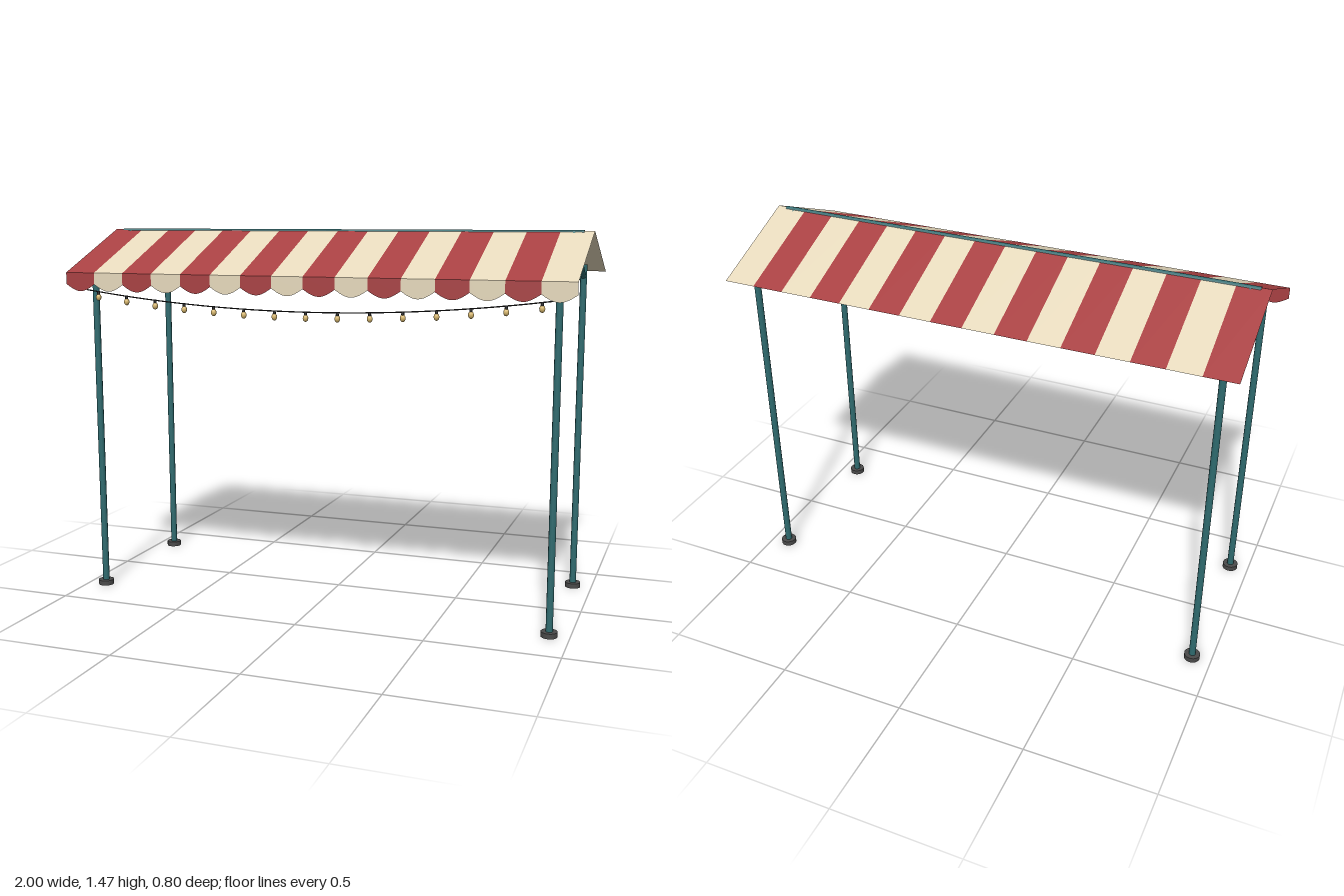
import * as THREE from 'three';

const material = (name, color, side = THREE.FrontSide) => {
  const m = new THREE.MeshStandardMaterial({ color, side });
  m.name = name;
  return m;
};

export function createModel() {
  const red = material('red canvas', 0xa84042, THREE.DoubleSide);
  const cream = material('cream canvas', 0xe6d9bc, THREE.DoubleSide);
  const teal = material('teal paint', 0x2f6b6f);
  const grey = material('dark grey foot', 0x4a4a4a);
  const black = material('black cable', 0x222222);
  const amber = material('warm bulb', 0xdcbb70);

  const group = new THREE.Group();
  group.name = 'marketCanopy';
  const add = (name, geometry, mat, x = 0, y = 0, z = 0) => {
    const mesh = new THREE.Mesh(geometry, mat);
    mesh.name = name;
    mesh.position.set(x, y, z);
    group.add(mesh);
    return mesh;
  };
  const bar = (name, a, b, r) => {
    const from = new THREE.Vector3(...a), to = new THREE.Vector3(...b);
    const dir = to.clone().sub(from);
    const mesh = add(name, new THREE.CylinderGeometry(r, r, dir.length(), 12), teal);
    mesh.position.copy(from).add(to).multiplyScalar(0.5);
    mesh.quaternion.setFromUnitVectors(new THREE.Vector3(0, 1, 0), dir.normalize());
  };

  // Frame: posts, feet, rafters, eave rails and ridge
  const postX = 0.925, postZ = 0.305, railY = 1.28, ridgeY = 1.456;
  for (const z of [-postZ, postZ]) {
    for (const x of [-postX, postX]) {
      bar('post', [x, 0, z], [x, 1.33, z], 0.0132);
      add('foot', new THREE.CylinderGeometry(0.031, 0.031, 0.02, 16), grey, x, 0.01, z);
      bar('rafter', [x, railY, z], [x, ridgeY, 0], 0.0105);
    }
    bar('eaveRail', [-postX, railY, z], [postX, railY, z], 0.0105);
  }
  bar('ridgeBar', [-0.962, ridgeY, 0], [0.962, ridgeY, 0], 0.012);

  // Striped roof slopes and scalloped front valance
  const stripes = 16, w = 2 / stripes, topY = 1.465, eaveY = 1.3, eaveZ = 0.4;
  const cuspY = -0.045, dip = 0.027;
  const slopeLength = Math.hypot(eaveZ, topY - eaveY);
  const tilt = Math.atan2(eaveZ, topY - eaveY);
  const scallop = new THREE.Shape();
  scallop.moveTo(-w / 2, 0);
  for (let i = 0; i <= 12; i++) {
    scallop.lineTo(-w / 2 + (w * i) / 12, cuspY - dip * Math.sin((Math.PI * i) / 12));
  }
  scallop.lineTo(w / 2, 0);
  const valance = new THREE.ShapeGeometry(scallop);
  const panel = new THREE.PlaneGeometry(w, slopeLength);
  for (let i = 0; i < stripes; i++) {
    const x = -1 + w * (i + 0.5), canvas = i % 2 ? cream : red;
    const midY = (topY + eaveY) / 2;
    add('frontRoofStripe', panel, canvas, x, midY, eaveZ / 2).rotation.x = -tilt;
    add('backRoofStripe', panel, canvas, x, midY, -eaveZ / 2).rotation.set(tilt, Math.PI, 0);
    add('valanceScallop', valance, canvas, x, eaveY, eaveZ);
  }

  // Sagging string of lights under the front eave
  const lightZ = 0.37;
  const cableY = x => 1.168 + 0.064 * (x / postX) ** 2;
  const points = [];
  for (let i = 0; i <= 16; i++) {
    const x = -postX + (2 * postX * i) / 16;
    points.push(new THREE.Vector3(x, cableY(x), lightZ));
  }
  add('lightCable', new THREE.TubeGeometry(new THREE.CatmullRomCurve3(points), 48, 0.0025, 6), black);
  const socket = new THREE.CylinderGeometry(0.005, 0.006, 0.014, 10);
  const bulb = new THREE.SphereGeometry(0.0105, 12, 10).scale(1, 1.3, 1);
  for (let i = -7; i <= 7; i++) {
    const x = i * w, y = cableY(x);
    add('bulbSocket', socket, black, x, y - 0.005, lightZ);
    add('bulb', bulb, amber, x, y - 0.022, lightZ);
  }
  return group;
}
